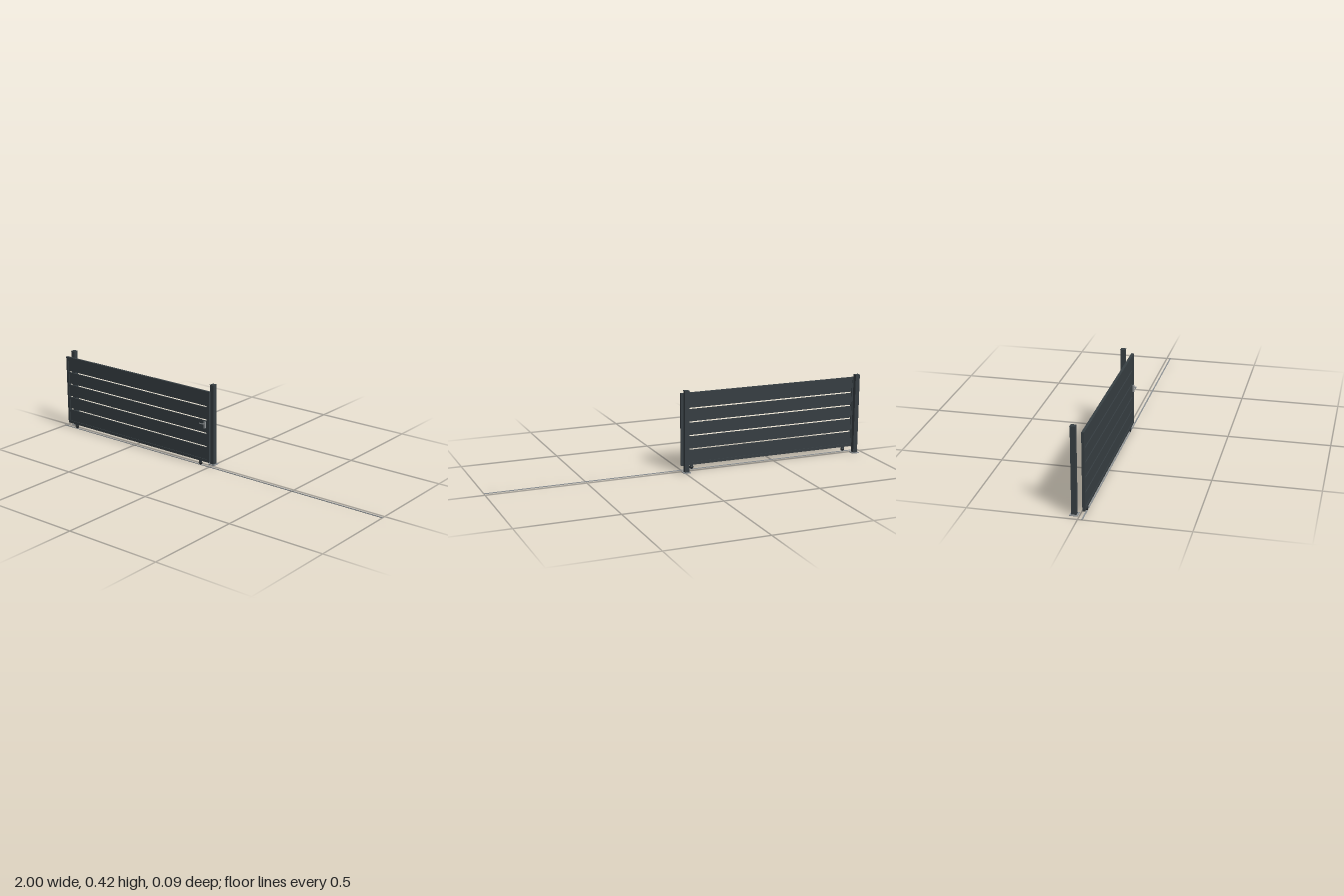
import * as THREE from 'three';

export function createModel() {
  const model = new THREE.Group();
  const material = (name, color) => {
    const m = new THREE.MeshStandardMaterial({ color });
    m.name = name;
    return m;
  };
  const anthracite = material('anthracite', 0x373f43);
  const steel = material('steel', 0x8f9497);
  const rubber = material('wheelBlack', 0x23272a);

  const add = (parent, name, geometry, mat, x, y, z) => {
    const mesh = new THREE.Mesh(geometry, mat);
    mesh.name = name;
    mesh.position.set(x, y, z);
    parent.add(mesh);
    return mesh;
  };
  // Box given by its limits on each axis
  const box = (parent, name, mat, [x0, x1], [y0, y1], [z0, z1]) =>
    add(parent, name, new THREE.BoxGeometry(x1 - x0, y1 - y0, z1 - z0), mat,
      (x0 + x1) / 2, (y0 + y1) / 2, (z0 + z1) / 2);
  const group = (name) => {
    const g = new THREE.Group();
    g.name = name;
    model.add(g);
    return g;
  };

  // Ground rail
  box(model, 'groundRail', steel, [-1, 1], [0, 0.003], [0.0165, 0.0225]);

  // Gate leaf: frame and five slats
  const left = -0.968, right = 0.003, bottom = 0.025, top = 0.395;
  const stile = 0.0145, bar = 0.0145, depth = [0.0135, 0.026], zMid = 0.01975;
  const gate = group('gateLeaf');
  box(gate, 'endStile', anthracite, [left, left + stile], [bottom, top], depth);
  box(gate, 'lockStile', anthracite, [right - stile, right], [bottom, top], depth);
  const span = [left + stile, right - stile];
  box(gate, 'bottomBar', anthracite, span, [bottom, bottom + bar], depth);
  box(gate, 'topBar', anthracite, span, [top - bar, top], depth);
  const gap = 0.0075, inner = top - bottom - 2 * bar;
  const slat = (inner - 4 * gap) / 5;
  for (let i = 0; i < 5; i++) {
    const y = bottom + bar + i * (slat + gap);
    box(gate, 'slat', anthracite, span, [y, y + slat], [zMid - 0.003, zMid + 0.003]);
  }

  // Wheels under the leaf
  for (const x of [-0.911, -0.055]) {
    const g = group('wheelUnit');
    box(g, 'wheelBracket', anthracite, [x - 0.007, x + 0.007], [0.013, bottom], [zMid - 0.0045, zMid + 0.0045]);
    const wheel = add(g, 'wheel', new THREE.CylinderGeometry(0.0095, 0.0095, 0.006, 20), rubber, x, 0.0125, zMid);
    wheel.rotation.x = Math.PI / 2;
    const axle = add(g, 'axle', new THREE.CylinderGeometry(0.002, 0.002, 0.0095, 10), steel, x, 0.0145, zMid);
    axle.rotation.x = Math.PI / 2;
  }

  // Lock plate with lever handle
  const handle = group('handle');
  box(handle, 'lockPlate', steel, [-0.024, -0.016], [0.204, 0.238], [0.026, 0.034]);
  const stem = add(handle, 'handleStem', new THREE.CylinderGeometry(0.002, 0.002, 0.009, 12), steel, -0.02, 0.229, 0.0385);
  stem.rotation.x = Math.PI / 2;
  box(handle, 'handleLever', steel, [-0.043, -0.018], [0.227, 0.231], [0.041, 0.045]);

  // Guide posts behind the leaf
  const zPost = -0.0245;
  for (const x of [-0.9565, -0.009]) {
    const g = group('post');
    const square = (name, mat, h, y0, y1) =>
      box(g, name, mat, [x - h, x + h], [y0, y1], [zPost - h, zPost + h]);
    square('basePlate', steel, 0.0185, 0, 0.004);
    square('postShaft', anthracite, 0.0115, 0.004, 0.4155);
    square('postCap', anthracite, 0.0125, 0.4155, 0.418);
  }

  return model;
}
